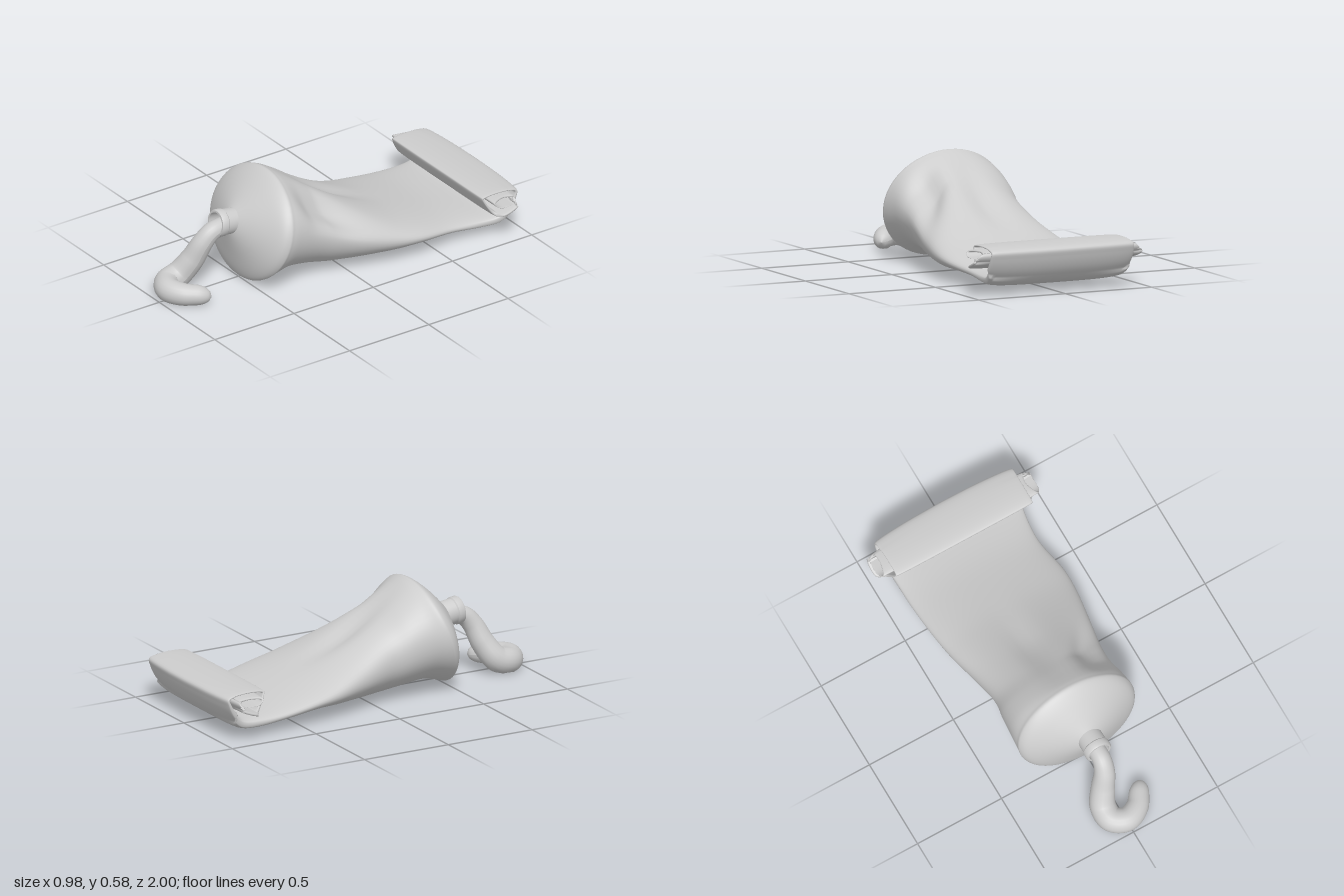
import * as THREE from 'three';
import { toCreasedNormals } from 'three/addons/utils/BufferGeometryUtils.js';

const material = new THREE.MeshStandardMaterial({ color: 0xcccccc, side: THREE.DoubleSide });

function addMesh(group, name, geometry) {
  const mesh = new THREE.Mesh(geometry, material);
  mesh.name = name;
  group.add(mesh);
  return mesh;
}

// Skins smooth rings through rows of [topZ, topY, bottomZ, bottomY, xRight, xLeft, roundness].
// roundness 1 is an ellipse, lower values are boxier; deform may move each point.
function loft(rows, steps, segments, deform) {
  const curve = (f) => new THREE.CatmullRomCurve3(rows.map(f), false, 'catmullrom', 0.5);
  const top = curve((r) => new THREE.Vector3(0, r[1], r[0]));
  const bottom = curve((r) => new THREE.Vector3(0, r[3], r[2]));
  const width = curve((r) => new THREE.Vector3(r[4], r[5], r[6]));
  const count = steps * (rows.length - 1);
  const positions = [], index = [];
  for (let i = 0; i <= count; i++) {
    const a = top.getPoint(i / count), b = bottom.getPoint(i / count), w = width.getPoint(i / count);
    for (let j = 0; j < segments; j++) {
      const t = (j / segments) * Math.PI * 2;
      const power = (v) => Math.sign(v) * Math.pow(Math.abs(v), w.z);
      const c = power(Math.cos(t)), s = power(Math.sin(t));
      const p = b.clone().lerp(a, 0.5 + 0.5 * s);
      p.x = (w.x + w.y) / 2 + c * (w.y - w.x) / 2;
      deform(p, s);
      positions.push(p.x, p.y, p.z);
      if (i < count) {
        const k = i * segments, n = (j + 1) % segments;
        index.push(k + j, k + segments + j, k + n, k + n, k + segments + j, k + segments + n);
      }
    }
  }
  const geometry = new THREE.BufferGeometry();
  geometry.setAttribute('position', new THREE.Float32BufferAttribute(positions, 3));
  geometry.setIndex(index);
  geometry.computeVertexNormals();
  return geometry;
}

const bump = (v, centre, spread) => Math.exp(-(((v - centre) / spread) ** 2));

// Squeeze marks: a groove along the upper middle, a slanting pinch on the upper left, a bowed roll
function squeeze(p, s) {
  if (p.z < -0.93) p.z += 0.1 * p.x * p.x;
  if (s <= 0 || p.z < -0.6) return;
  const fade = THREE.MathUtils.smoothstep(0.36 - p.z, 0, 0.15);
  p.y -= 0.035 * s * fade * bump(p.x, -0.02, 0.07) * bump(p.z, -0.03, 0.2);
  const pinchX = 0.25 + 0.45 * Math.max(0, 0.12 - p.z);
  const pinch = fade * bump(p.z, 0.12, 0.2) * bump(p.x, pinchX, 0.09) * s;
  p.x -= 0.05 * pinch;
  p.y -= 0.09 * pinch;
}

// Hooked strand whose thickness follows its length, with a rounded tip, resting on the ground
function strand(path, radii) {
  const steps = 80, sides = 20;
  const geometry = new THREE.TubeGeometry(path, steps, 1, sides);
  const thickness = new THREE.SplineCurve(radii.map((r, i) => new THREE.Vector2(i, r)));
  const position = geometry.attributes.position;
  const p = new THREE.Vector3();
  for (let i = 0; i < position.count; i++) {
    const u = Math.floor(i / (sides + 1)) / steps;
    const centre = path.getPointAt(u);
    const taper = Math.sqrt(1 - THREE.MathUtils.clamp((u - 0.9) / 0.1, 0, 1) ** 2);
    p.fromBufferAttribute(position, i).sub(centre);
    p.multiplyScalar(thickness.getPoint(u).y * taper).add(centre);
    position.setXYZ(i, p.x, Math.max(p.y, 0.002), p.z);
  }
  geometry.computeVertexNormals();
  return geometry;
}

export function createModel() {
  const model = new THREE.Group();
  model.name = 'squeezedTube';

  // One skin: shoulder, rim, body flattening rearwards, then the sheet rolled in a triangular spiral
  const shoulder = [
    [0.53, 0.41, 0.572, 0.28, -0.066, 0.066, 1],
    [0.45, 0.49, 0.55, 0.17, -0.2, 0.2, 1],
    [0.385, 0.548, 0.525, 0.06, -0.305, 0.305, 1],
    [0.335, 0.58, 0.5, 0.01, -0.341, 0.338, 1],
  ];
  const body = [
    [0.305, 0.573, 0.465, 0.016, -0.341, 0.337, 1],
    [0.26, 0.547, 0.35, 0.044, -0.334, 0.325, 0.97],
    [0.19, 0.503, 0.2, 0.03, -0.32, 0.315, 0.95],
    [0.08, 0.432, 0.08, 0.013, -0.302, 0.325, 0.95],
    [-0.08, 0.335, -0.08, 0.01, -0.325, 0.355, 0.95],
    [-0.25, 0.248, -0.25, 0.02, -0.36, 0.382, 0.95],
    [-0.4, 0.19, -0.4, 0.035, -0.38, 0.387, 0.95],
    [-0.6, 0.135, -0.6, 0.035, -0.393, 0.358, 0.85],
    [-0.75, 0.112, -0.77, 0.033, -0.396, 0.37, 0.65],
  ];
  const roll = [
    [-0.86, 0.113, -0.885, 0.052, -0.4, 0.395, 0.5],
    [-0.922, 0.157, -0.953, 0.115, -0.412, 0.41, 0.45],
    [-0.962, 0.203, -0.99, 0.195, -0.415, 0.412, 0.45],
    [-0.962, 0.233, -0.987, 0.244, -0.41, 0.41, 0.45],
    [-0.87, 0.245, -0.87, 0.261, -0.405, 0.408, 0.45],
    [-0.782, 0.242, -0.768, 0.257, -0.405, 0.408, 0.45],
    [-0.773, 0.228, -0.752, 0.235, -0.412, 0.41, 0.4],
    [-0.818, 0.168, -0.803, 0.146, -0.44, 0.43, 0.4],
    [-0.84, 0.165, -0.84, 0.141, -0.485, 0.48, 0.4],
    [-0.91, 0.192, -0.935, 0.18, -0.485, 0.485, 0.4],
    [-0.93, 0.213, -0.95, 0.226, -0.45, 0.45, 0.4],
    [-0.87, 0.222, -0.87, 0.24, -0.44, 0.43, 0.4],
    [-0.805, 0.222, -0.79, 0.235, -0.46, 0.46, 0.4],
    [-0.83, 0.207, -0.82, 0.2, -0.48, 0.48, 0.4],
    [-0.9, 0.202, -0.9, 0.202, -0.48, 0.48, 0.4],
  ];
  addMesh(model, 'tubeSkin', loft([...shoulder, ...body, ...roll], 6, 56, squeeze));

  // Neck with a slight lip and a hollow opening
  const profile = [
    [0.068, -0.02], [0.068, 0.06], [0.073, 0.066], [0.073, 0.096],
    [0.068, 0.104], [0.058, 0.104], [0.052, 0.02], [0, 0.02],
  ].map(([x, y]) => new THREE.Vector2(x, y));
  const neck = addMesh(model, 'neck', toCreasedNormals(new THREE.LatheGeometry(profile, 32), 0.6));
  neck.rotation.x = Math.PI / 2 - 0.13;
  neck.position.set(0, 0.342, 0.542);

  // Paste: droops from the neck and hooks round on the ground
  const path = new THREE.CatmullRomCurve3([
    [0, 0.33, 0.59], [0, 0.315, 0.67], [-0.012, 0.262, 0.718], [-0.045, 0.165, 0.76],
    [-0.08, 0.08, 0.82], [-0.075, 0.058, 0.895], [-0.005, 0.056, 0.938],
    [0.075, 0.053, 0.905], [0.125, 0.05, 0.84], [0.165, 0.042, 0.785],
  ].map((p) => new THREE.Vector3(...p)));
  addMesh(model, 'paste', strand(path, [0.048, 0.051, 0.058, 0.065, 0.069, 0.067, 0.063, 0.055, 0.05]));

  return model;
}
